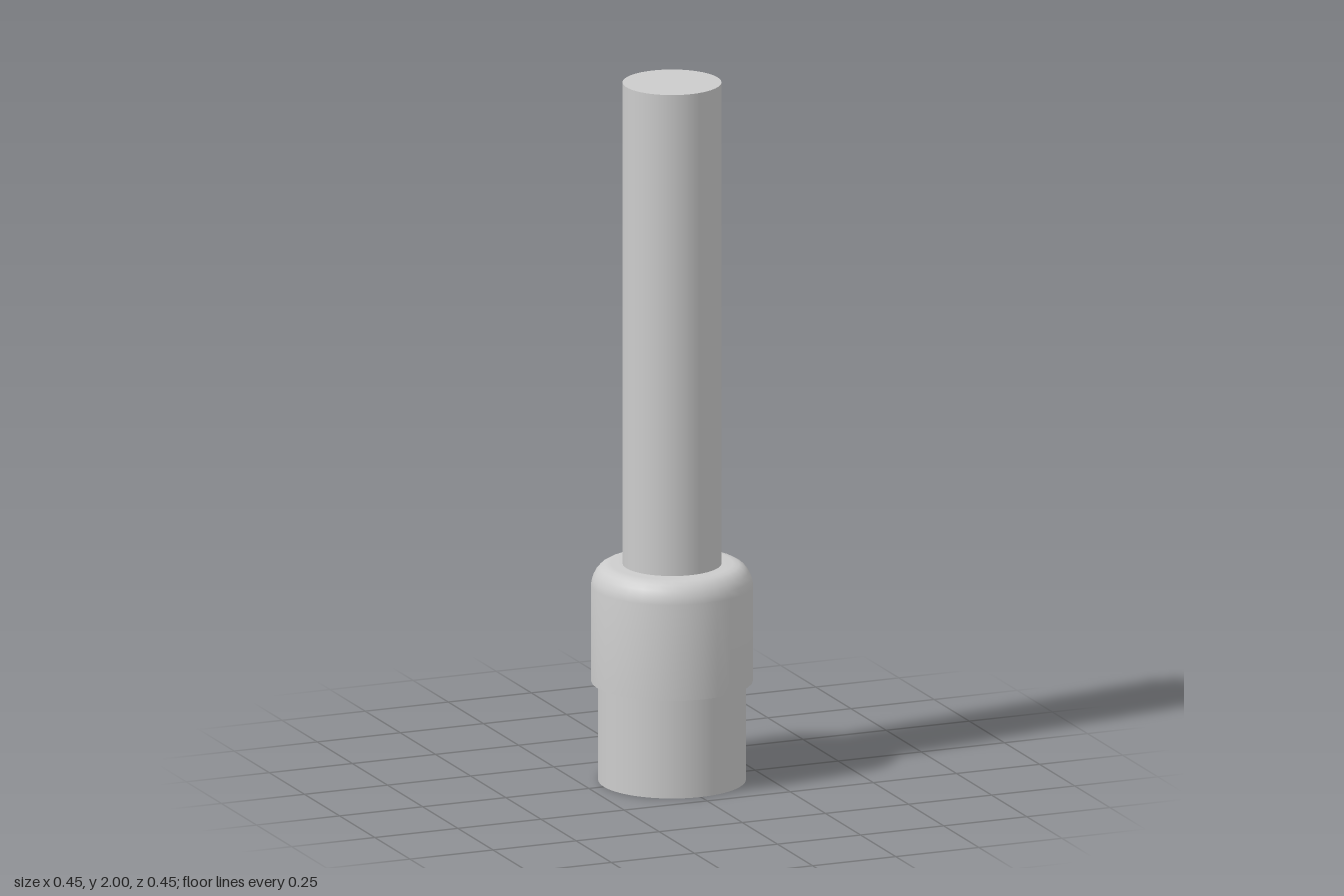
import * as THREE from 'three';
import { toCreasedNormals } from 'three/addons/utils/BufferGeometryUtils.js';

export function createModel() {
  const group = new THREE.Group();
  const material = new THREE.MeshStandardMaterial({ color: 0xcccccc });

  const add = (name, geometry, y = 0) => {
    const mesh = new THREE.Mesh(geometry, material);
    mesh.name = name;
    mesh.position.y = y;
    group.add(mesh);
  };
  const cylinder = (name, radius, bottom, top) =>
    add(name, new THREE.CylinderGeometry(radius, radius, top - bottom, 64), (bottom + top) / 2);

  // Plain round base and long shaft
  cylinder('base', 0.205, 0, 0.3);
  cylinder('shaft', 0.137, 0.6, 2);

  // Wider collar with a rounded upper shoulder
  const profile = [
    [0.19, 0.285], [0.225, 0.285], [0.225, 0.56], [0.221, 0.58], [0.212, 0.597],
    [0.201, 0.61], [0.187, 0.618], [0.17, 0.62], [0.12, 0.62],
  ].map(([r, y]) => new THREE.Vector2(r, y));
  add('collar', toCreasedNormals(new THREE.LatheGeometry(profile, 32), 0.6));

  return group;
}
